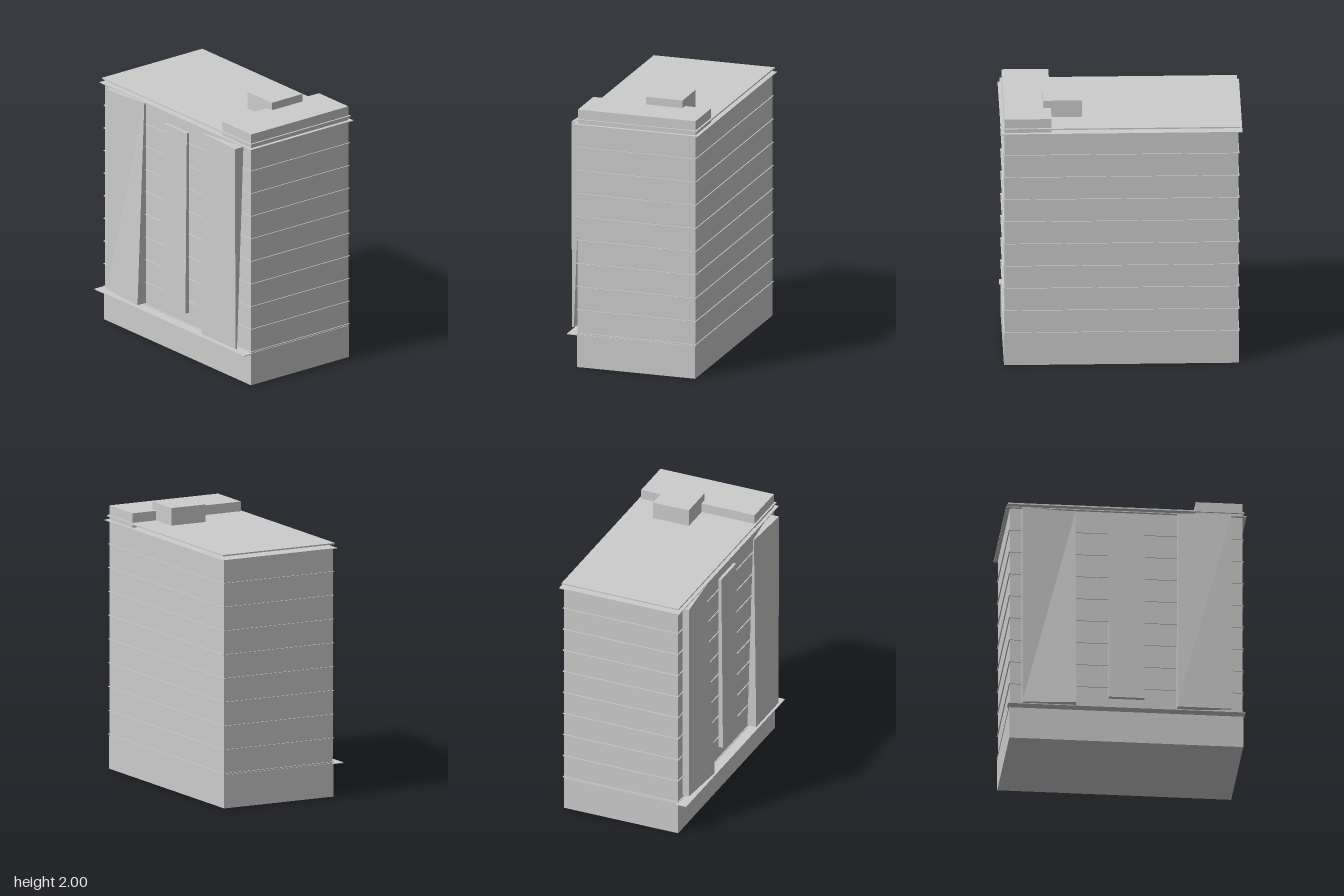
import * as THREE from 'three';

export function createModel() {
  const model = new THREE.Group();
  const concrete = new THREE.MeshStandardMaterial({ color: 0xcccccc });
  concrete.name = 'paleConcrete';

  function add(name, geometry) {
    const mesh = new THREE.Mesh(geometry, concrete);
    mesh.name = name;
    model.add(mesh);
    return mesh;
  }

  // Box given by its limits on each axis
  function block(name, x0, x1, y0, y1, z0, z1) {
    const g = new THREE.BoxGeometry(x1 - x0, y1 - y0, z1 - z0);
    g.translate((x0 + x1) / 2, (y0 + y1) / 2, (z0 + z1) / 2);
    return add(name, g);
  }

  // Upright panel whose depth differs at each corner;
  // corner order: bottom -x, bottom +x, top -x, top +x
  function panel(name, x0, x1, y0, y1, back, front) {
    const box = new THREE.BoxGeometry(1, 1, 1);
    const p = box.attributes.position;
    for (let i = 0; i < p.count; i++) {
      const right = p.getX(i) > 0;
      const top = p.getY(i) > 0;
      const corner = (right ? 1 : 0) + (top ? 2 : 0);
      const z = (p.getZ(i) > 0 ? front : back)[corner];
      p.setXYZ(i, right ? x1 : x0, top ? y1 : y0, z);
    }
    const g = box.toNonIndexed();
    g.computeVertexNormals();
    return add(name, g);
  }

  // Main volume
  block('base', -0.85, 0.85, 0, 0.245, -0.477, 0.43);
  block('tower', -0.845, 0.845, 0.245, 1.83, -0.477, 0.425);

  // Thin floor bands around the tower
  for (let i = 0; i < 9; i++) {
    const y = 0.256 + i * 0.1753;
    block('floorBand', -0.853, 0.853, y - 0.002, y + 0.002, -0.485, 0.433);
  }

  // Entrance canopy along the front
  block('canopy', -0.867, 0.86, 0.242, 0.248, 0.42, 0.503);

  // Twisted facade panels
  panel('rightFacadePanel', -0.76, -0.37, 0.27, 1.82,
    [0.424, 0.424, 0.424, 0.424], [0.475, 0.503, 0.475, 0.44]);
  panel('leftFacadePanel', 0.365, 0.757, 0.27, 1.82,
    [0.43, 0.485, 0.475, 0.426], [0.5, 0.5, 0.482, 0.503]);
  panel('centreFacadePanel', -0.13, 0.13, 0.345, 1.74,
    [0.424, 0.424, 0.424, 0.424], [0.46, 0.46, 0.447, 0.447]);

  // Two thin roof sheets with an open gap between them
  block('lowerRoof', -0.875, 0.872, 1.83, 1.836, -0.503, 0.448);
  block('upperRoof', -0.86, 0.858, 1.861, 1.871, -0.491, 0.437);

  // Roof structures
  block('penthouse', 0.505, 0.845, 1.836, 1.942, -0.477, 0.424);
  block('liftHouse', 0.28, 0.56, 1.836, 2, -0.28, 0.003);

  return model;
}
